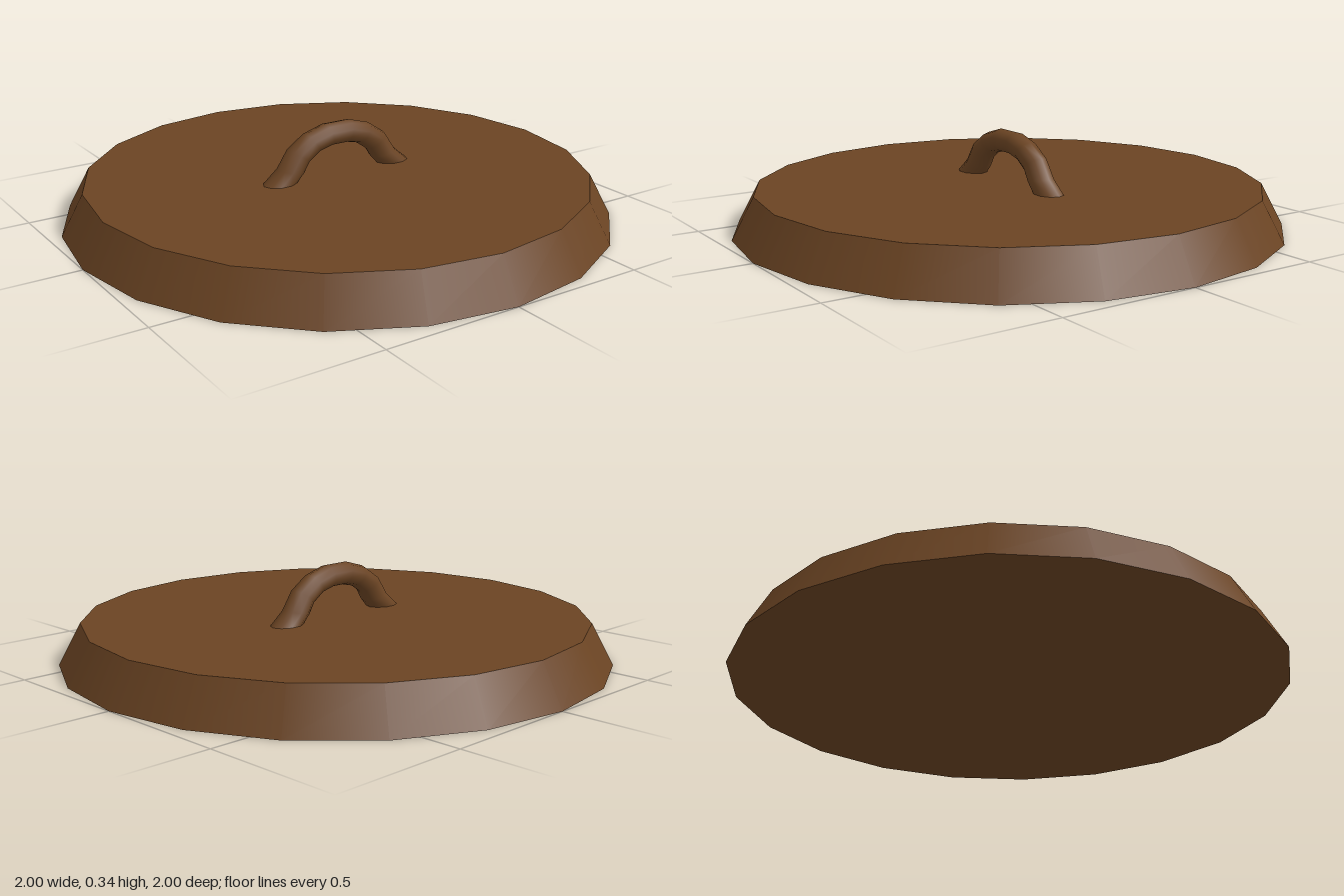
import * as THREE from 'three';

// Smooth tube whose rings span from an outer point to an inner point in the xy plane
function createHandleGeometry(rings, sides) {
  const positions = [];
  const indices = [];
  rings.forEach(([ox, oy, ix, iy, halfDepth], r) => {
    for (let s = 0; s < sides; s++) {
      const a = (s / sides) * Math.PI * 2;
      const c = Math.cos(a) / 2;
      positions.push(
        (ox + ix) / 2 + (ox - ix) * c,
        (oy + iy) / 2 + (oy - iy) * c,
        halfDepth * Math.sin(a)
      );
      if (r < rings.length - 1) {
        const p = r * sides + s;
        const q = r * sides + (s + 1) % sides;
        indices.push(p, q, p + sides, q, q + sides, p + sides);
      }
    }
  });
  const geometry = new THREE.BufferGeometry();
  geometry.setAttribute('position', new THREE.Float32BufferAttribute(positions, 3));
  geometry.setIndex(indices);
  geometry.computeVertexNormals();
  return geometry;
}

export function createModel() {
  const group = new THREE.Group();
  group.name = 'lid';
  const brown = new THREE.MeshStandardMaterial({ color: 0x6b4423 });
  brown.name = 'brown';

  // Tapered disc with smooth sides and sharp rims
  const disc = new THREE.Mesh(new THREE.CylinderGeometry(0.92, 1, 0.15, 20), brown);
  disc.name = 'lidDisc';
  disc.position.y = 0.075;
  group.add(disc);

  // Arched handle: outer x, y, inner x, y and half depth, from the crown to the foot
  const half = [
    [0.05, 0.34, 0.035, 0.257, 0.045],
    [0.135, 0.315, 0.085, 0.245, 0.045],
    [0.205, 0.268, 0.128, 0.215, 0.045],
    [0.25, 0.2, 0.15, 0.18, 0.047],
    [0.312, 0.148, 0.18, 0.148, 0.05],
  ];
  const mirrored = half.map(([ox, oy, ix, iy, d]) => [-ox, oy, -ix, iy, d]).reverse();
  const handle = new THREE.Mesh(createHandleGeometry([...mirrored, ...half], 10), brown);
  handle.name = 'handle';
  group.add(handle);

  return group;
}
